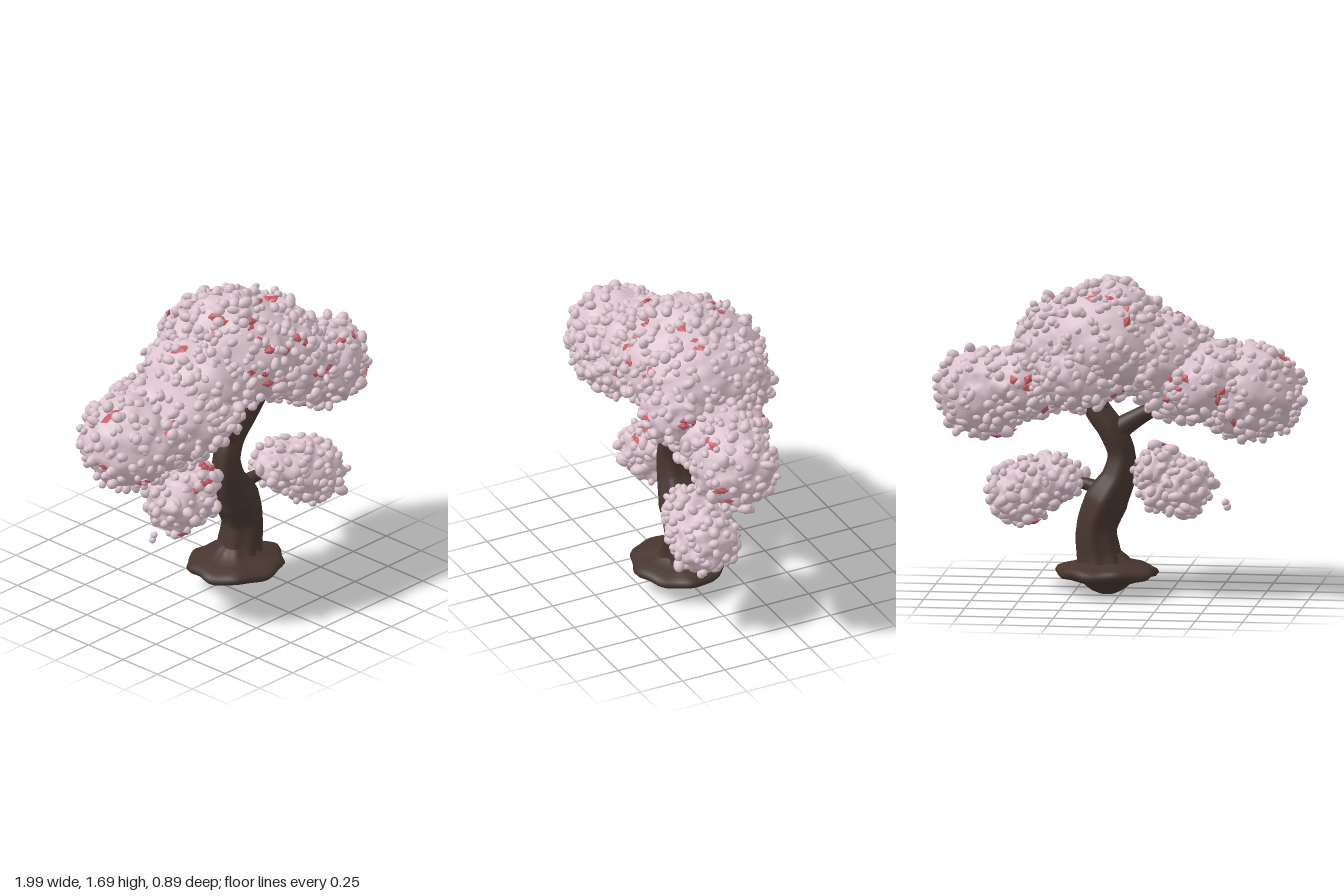
import * as THREE from 'three';
import { mergeVertices, mergeGeometries } from 'three/addons/utils/BufferGeometryUtils.js';

const mat = (name, color, side = THREE.FrontSide) => {
  const m = new THREE.MeshStandardMaterial({ color, side });
  m.name = name;
  return m;
};

function seeded(seed) {
  return () => {
    seed = (seed * 1664525 + 1013904223) % 4294967296;
    return seed / 4294967296;
  };
}

// Weld seams so that normals are smooth all round
function smooth(geo) {
  geo.deleteAttribute('uv');
  geo.deleteAttribute('normal');
  const g = mergeVertices(geo, 1e-4);
  g.computeVertexNormals();
  return g;
}

// Tapered, gently ridged limb through points [x, y, z, radius]
function limb(points, segments, ridge = 0) {
  const curve = new THREE.CatmullRomCurve3(points.map(p => new THREE.Vector3(p[0], p[1], p[2])));
  const sides = 32;
  const geo = new THREE.TubeGeometry(curve, segments, 1, sides);
  const pos = geo.attributes.position;
  const v = new THREE.Vector3();
  for (let i = 0; i <= segments; i++) {
    const u = i / segments;
    const t = curve.getUtoTmapping(u) * (points.length - 1);
    const k = Math.min(Math.floor(t), points.length - 2);
    const r = THREE.MathUtils.lerp(points[k][3], points[k + 1][3], t - k);
    const centre = curve.getPointAt(u);
    for (let j = 0; j <= sides; j++) {
      const n = i * (sides + 1) + j;
      const a = (j / sides) * Math.PI * 2;
      const wave = 1 + ridge * (1 - u) * (Math.sin(6 * a + 4 * u) + 0.4 * Math.sin(3 * a - 4 * u));
      v.fromBufferAttribute(pos, n).sub(centre).multiplyScalar(r * wave).add(centre);
      pos.setXYZ(n, v.x, v.y, v.z);
    }
  }
  return smooth(geo);
}

// Flared root plate with a wavy rim, a nearly flat top and a pointed underside
function rootPlate() {
  const profile = [[0, 0.005], [0.04, 0.01], [0.085, 0.03], [0.13, 0.066], [0.2, 0.09], [0.25, 0.102],
    [0.268, 0.122], [0.258, 0.142], [0.23, 0.156], [0.18, 0.17], [0.13, 0.182], [0.105, 0.21], [0.08, 0.23]];
  const geo = new THREE.LatheGeometry(profile.map(p => new THREE.Vector2(p[0], p[1])), 64);
  const pos = geo.attributes.position;
  for (let i = 0; i < pos.count; i++) {
    const x = pos.getX(i), z = pos.getZ(i), a = Math.atan2(z, x);
    const s = 1 + 0.025 * Math.sin(9 * a) + 0.02 * Math.sin(5 * a + 1);
    const lift = 0.006 * (Math.hypot(x, z) / 0.26) ** 2 * Math.sin(6 * a + 0.5);
    pos.setXYZ(i, x * s, Math.max(0, pos.getY(i) + lift), z * s * 0.91);
  }
  return smooth(geo);
}

// Leaf masses: each is a list of ellipsoids [x, y, z, rx, ry, rz]
const clusters = {
  leftCanopy: [[-0.68, 1.1, 0.01, 0.27, 0.24, 0.26], [-0.45, 1.15, 0.03, 0.28, 0.22, 0.33],
    [-0.3, 1.17, 0.06, 0.25, 0.2, 0.29]],
  crownCanopy: [[0.08, 1.35, -0.01, 0.35, 0.28, 0.38], [0.03, 1.49, 0, 0.21, 0.18, 0.23],
    [0.3, 1.36, 0.02, 0.23, 0.21, 0.34], [-0.2, 1.29, 0.02, 0.26, 0.21, 0.31],
    [0.38, 1.25, 0.22, 0.17, 0.17, 0.18], [0.2, 1.22, -0.21, 0.21, 0.19, 0.19]],
  rightCanopy: [[0.72, 1.065, 0.06, 0.24, 0.22, 0.21], [0.5, 1.13, 0.03, 0.23, 0.18, 0.24]],
  lowerLeftTuft: [[-0.21, 0.67, 0.01, 0.12, 0.12, 0.14], [-0.34, 0.6, 0, 0.14, 0.14, 0.15],
    [-0.24, 0.58, 0.01, 0.12, 0.12, 0.14]],
  lowerRightTuft: [[0.34, 0.6, 0.11, 0.13, 0.11, 0.15], [0.45, 0.57, 0.12, 0.15, 0.14, 0.17],
    [0.55, 0.52, 0.14, 0.15, 0.16, 0.17]],
};
const allBlobs = Object.values(clusters).flat();

const depth = (p, b) => Math.hypot((p.x - b[0]) / b[3], (p.y - b[1]) / b[4], (p.z - b[2]) / b[5]);

// Shared unevenness of the leaf surface, in units
const lump = (x, y, z) =>
  0.014 * Math.sin(19 * x + 5 * y) * Math.sin(21 * y + 7 * z + 1) * Math.sin(18 * z - 6 * x + 2)
  + 0.018 * Math.sin(38 * x + 9 * y) * Math.sin(41 * y + 12 * z) * Math.sin(36 * z - 11 * x)
  + 0.014 * Math.sin(67 * x - 20 * z) * Math.sin(61 * y + 31 * x);

// Point on the lumpy surface of blob b in unit direction (x, y, z)
function surfacePoint(b, x, y, z, extra, target) {
  target.set(x * b[3] + b[0], y * b[4] + b[1], z * b[5] + b[2]);
  const s = lump(target.x, target.y, target.z) + extra;
  return target.set(target.x + x * s, target.y + y * s, target.z + z * s);
}

// Uneven leaf mass under the buds
function lumpyCore(b) {
  const geo = smooth(new THREE.IcosahedronGeometry(1, 7));
  const pos = geo.attributes.position;
  const p = new THREE.Vector3();
  for (let i = 0; i < pos.count; i++) {
    surfacePoint(b, pos.getX(i), pos.getY(i), pos.getZ(i), 0, p);
    pos.setXYZ(i, p.x, p.y, p.z);
  }
  geo.computeVertexNormals();
  return geo;
}

function foliage(name, blobs, rand, blossom, petal) {
  const group = new THREE.Group();
  group.name = name;
  const soft = blobs.map(lumpyCore);
  const red = [];
  const bud = smooth(new THREE.IcosahedronGeometry(1, 1));
  const flake = new THREE.OctahedronGeometry(1);
  flake.deleteAttribute('uv');
  const m = new THREE.Matrix4(), q = new THREE.Quaternion(), p = new THREE.Vector3();
  const normal = new THREE.Vector3(), zAxis = new THREE.Vector3(0, 0, 1);
  const place = (geo, pt, sx, sy, sz) =>
    geo.clone().applyMatrix4(m.compose(pt, q, new THREE.Vector3(sx, sy, sz)));
  const spin = () => q.setFromEuler(new THREE.Euler(rand() * 6.28, rand() * 6.28, rand() * 6.28));
  for (const b of blobs) {
    const mean = (b[3] * b[4] + b[4] * b[5] + b[3] * b[5]) / 3;
    const count = Math.round(4 * Math.PI * mean / 0.0043);
    for (let i = 0; i < count; i++) {
      // Even spiral over the ellipsoid with jitter
      const y = THREE.MathUtils.clamp(1 - 2 * (i + 0.5) / count + (rand() - 0.5) * 0.12, -1, 1);
      const a = i * 2.39996 + (rand() - 0.5) * 0.5, h = Math.sqrt(1 - y * y);
      surfacePoint(b, h * Math.cos(a), y, h * Math.sin(a), (rand() - 0.3) * 0.024, p);
      if (allBlobs.some(o => o !== b && depth(p, o) < 0.97)) continue;
      const r = 0.017 + rand() * 0.014;
      spin();
      soft.push(place(bud, p, r, r * (0.8 + rand() * 0.3), r * (0.9 + rand() * 0.7)));
      // Red petals lie in small patches between the buds
      if (rand() < 0.035) {
        for (let k = 0; k < 3; k++) {
          normal.set(h * Math.cos(a), y, h * Math.sin(a));
          normal.x += (rand() - 0.5) * 0.1 / b[3];
          normal.y += (rand() - 0.5) * 0.08 / b[4];
          normal.z += (rand() - 0.5) * 0.1 / b[5];
          normal.normalize();
          surfacePoint(b, normal.x, normal.y, normal.z, 0.01, p);
          normal.x += (rand() - 0.5) * 0.6;
          normal.y += (rand() - 0.5) * 0.6;
          q.setFromUnitVectors(zAxis, normal.normalize());
          red.push(place(flake, p, 0.036, 0.024, 0.012));
        }
      }
    }
  }
  // One stray sprig off the lower left
  if (name === 'lowerLeftTuft') {
    for (const [x, y, z] of [[-0.565, 0.48, 0.05], [-0.555, 0.505, 0.05]]) {
      soft.push(place(bud, p.set(x, y, z), 0.02, 0.024, 0.018));
    }
  }
  const leaves = new THREE.Mesh(mergeGeometries(soft), blossom);
  leaves.name = name + 'Blossom';
  group.add(leaves);
  if (red.length) {
    const petals = new THREE.Mesh(mergeGeometries(red), petal);
    petals.name = name + 'RedPetals';
    group.add(petals);
  }
  return group;
}

export function createModel() {
  const model = new THREE.Group();
  model.name = 'blossomTree';
  const bark = mat('bark', 0x47362f, THREE.DoubleSide);
  const blossom = mat('palePinkBlossom', 0xddc5cf);
  const petal = mat('redPetal', 0xca626a);
  const add = (name, geo) => {
    const mesh = new THREE.Mesh(geo, bark);
    mesh.name = name;
    model.add(mesh);
    return mesh;
  };

  // Roots, winding trunk and branches
  add('rootPlate', rootPlate()).position.set(0.07, 0, 0.05);
  add('trunk', limb([[0.09, 0.13, 0.04, 0.13], [0.11, 0.22, 0.04, 0.11], [0.125, 0.35, 0.04, 0.102],
    [0.075, 0.5, 0.04, 0.115], [0.01, 0.63, 0.045, 0.09], [-0.005, 0.75, 0.05, 0.074],
    [0.04, 0.87, 0.045, 0.074], [0.12, 0.98, 0.06, 0.07], [0.18, 1.1, 0.09, 0.064],
    [0.22, 1.25, 0.11, 0.04]], 64, 0.09));
  add('leftBranch', limb([[0.04, 0.86, 0.05, 0.065], [-0.05, 0.92, 0.05, 0.052],
    [-0.15, 0.98, 0.05, 0.042], [-0.32, 1.06, 0.04, 0.03]], 16));
  add('rightBranch', limb([[0.17, 1.05, 0.08, 0.05], [0.28, 1.09, 0.07, 0.042], [0.45, 1.12, 0.05, 0.025]], 12));
  add('lowerRightBranch', limb([[0.07, 0.52, 0.05, 0.07], [0.15, 0.575, 0.06, 0.036], [0.32, 0.6, 0.1, 0.02]], 14));
  add('lowerLeftBranch', limb([[0, 0.64, 0.04, 0.055], [-0.09, 0.68, 0.03, 0.033], [-0.24, 0.68, 0.01, 0.02]], 12));

  // Blossom masses
  const rand = seeded(17);
  for (const [name, blobs] of Object.entries(clusters)) {
    model.add(foliage(name, blobs, rand, blossom, petal));
  }
  return model;
}
